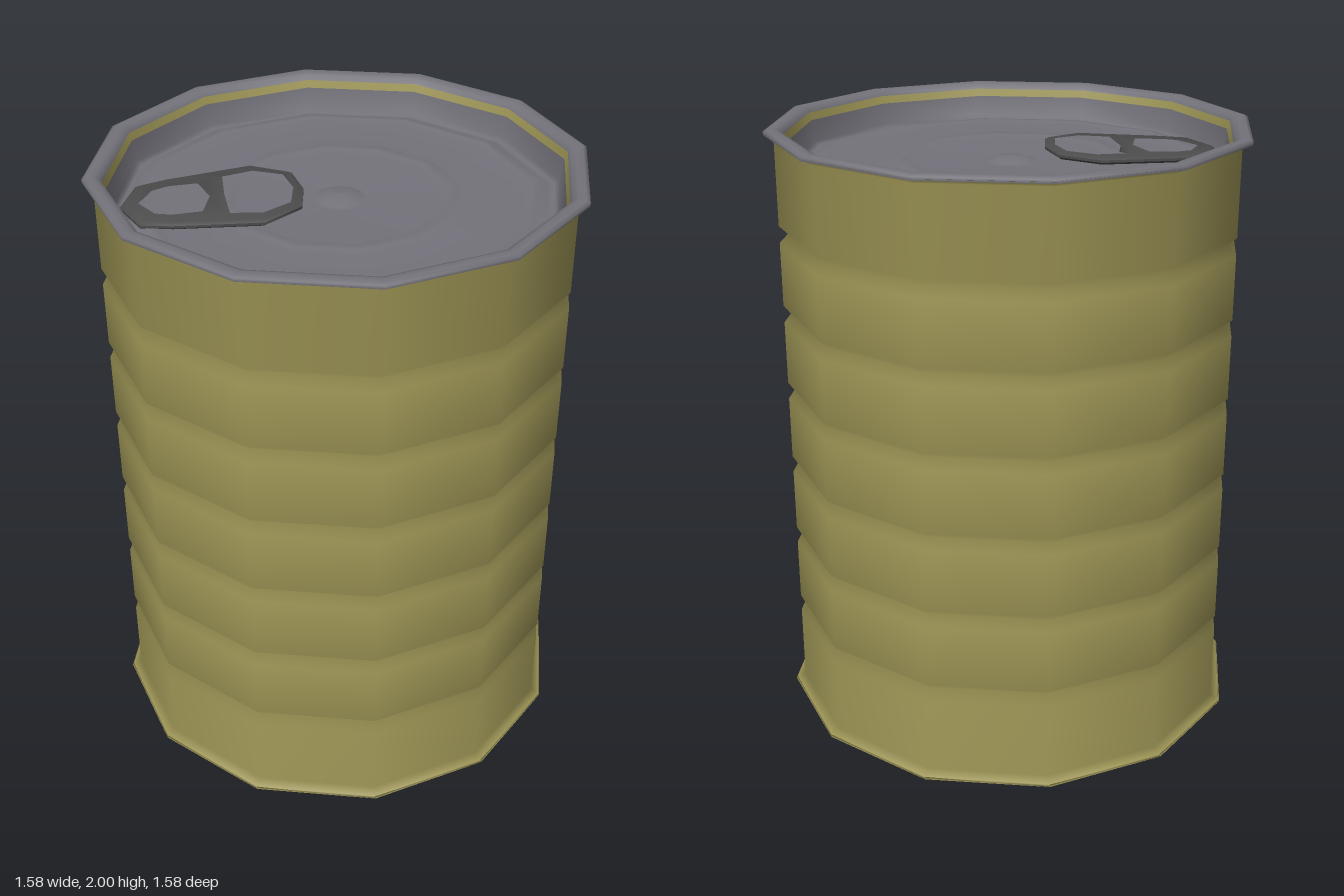
import * as THREE from 'three';
import { toCreasedNormals } from 'three/addons/utils/BufferGeometryUtils.js';

const SIDES = 12;
const olive = new THREE.MeshStandardMaterial({ color: 0x9c9455 });
const grey = new THREE.MeshStandardMaterial({ color: 0x74727a });
const darkGrey = new THREE.MeshStandardMaterial({ color: 0x4c4c4c });

// Twelve-sided smooth turned part from [radius, height] pairs
function turned(name, profile, material) {
  const points = profile.map(([r, y]) => new THREE.Vector2(r, y));
  const mesh = new THREE.Mesh(new THREE.LatheGeometry(points, SIDES), material);
  mesh.name = name;
  return mesh;
}

// Closed outline symmetric about the x axis, from its upper half
function mirrored(half, Type) {
  const lower = half.filter(([, y]) => y > 0).reverse().map(([x, y]) => [x, -y]);
  return new Type([...half, ...lower].map(([x, y]) => new THREE.Vector2(x, y)));
}

export function createModel() {
  const can = new THREE.Group();
  can.name = 'tinCan';

  // Body: flat bottom, flared seams and six V-shaped grooves
  const wall = 0.757;
  const body = [[0, 0], [0.79, 0], [0.785, 0.006], [wall, 0.022]];
  for (let i = 0; i < 6; i++) {
    const y = 0.31 + i * 0.27;
    body.push([wall, y - 0.028], [0.722, y], [wall, y + 0.028]);
  }
  body.push([wall, 1.968], [0.79, 1.988]);
  can.add(turned('body', body, olive));

  // Top rim, with a strip of the body showing inside it
  can.add(turned('rim', [
    [0.788, 1.982], [0.79, 1.994], [0.778, 2], [0.755, 2], [0.738, 1.994], [0.73, 1.98],
  ], grey));
  can.add(turned('innerSeam', [[0.73, 1.98], [0.722, 1.955]], olive));

  // Sunken lid with stepped rings and a centre button
  can.add(turned('lid', [
    [0.722, 1.955], [0.71, 1.885], [0.695, 1.873], [0.67, 1.875],
    [0.645, 1.888], [0.62, 1.888], [0.595, 1.88],
    [0.4, 1.88], [0.385, 1.89], [0.345, 1.89], [0.325, 1.88],
    [0.11, 1.88], [0.095, 1.874], [0.07, 1.878], [0.05, 1.888], [0, 1.892],
  ], grey));

  // Pull tab: bevelled plate with two openings
  const tab = mirrored([
    [-0.67, 0], [-0.62, 0.125], [-0.53, 0.15], [-0.26, 0.19], [-0.145, 0.115], [-0.125, 0],
  ], THREE.Shape);
  tab.holes.push(
    mirrored([[-0.625, 0], [-0.58, 0.08], [-0.53, 0.1], [-0.435, 0.1], [-0.405, 0]], THREE.Path),
    mirrored([[-0.355, 0], [-0.35, 0.13], [-0.25, 0.15], [-0.16, 0.1], [-0.14, 0]].map(
      ([x, y]) => [x - 0.005, y]), THREE.Path),
  );
  const plate = new THREE.ExtrudeGeometry(tab, {
    depth: 0.008, bevelEnabled: true, bevelSize: 0.012, bevelThickness: 0.008, bevelSegments: 1,
  });
  plate.rotateX(-Math.PI / 2);
  // Tilt the plate so that its finger end is slightly raised
  const pos = plate.attributes.position;
  for (let i = 0; i < pos.count; i++) {
    pos.setY(i, pos.getY(i) + 1.896 + (pos.getX(i) + 0.4) * 0.04);
  }
  const pullTab = new THREE.Mesh(toCreasedNormals(plate, 0.9), darkGrey);
  pullTab.name = 'pullTab';
  can.add(pullTab);

  // Rivet joining the tab to the lid
  const rivet = new THREE.Mesh(new THREE.CylinderGeometry(0.018, 0.02, 0.03, 8), darkGrey);
  rivet.name = 'rivet';
  rivet.position.set(-0.38, 1.89, 0);
  can.add(rivet);

  return can;
}
